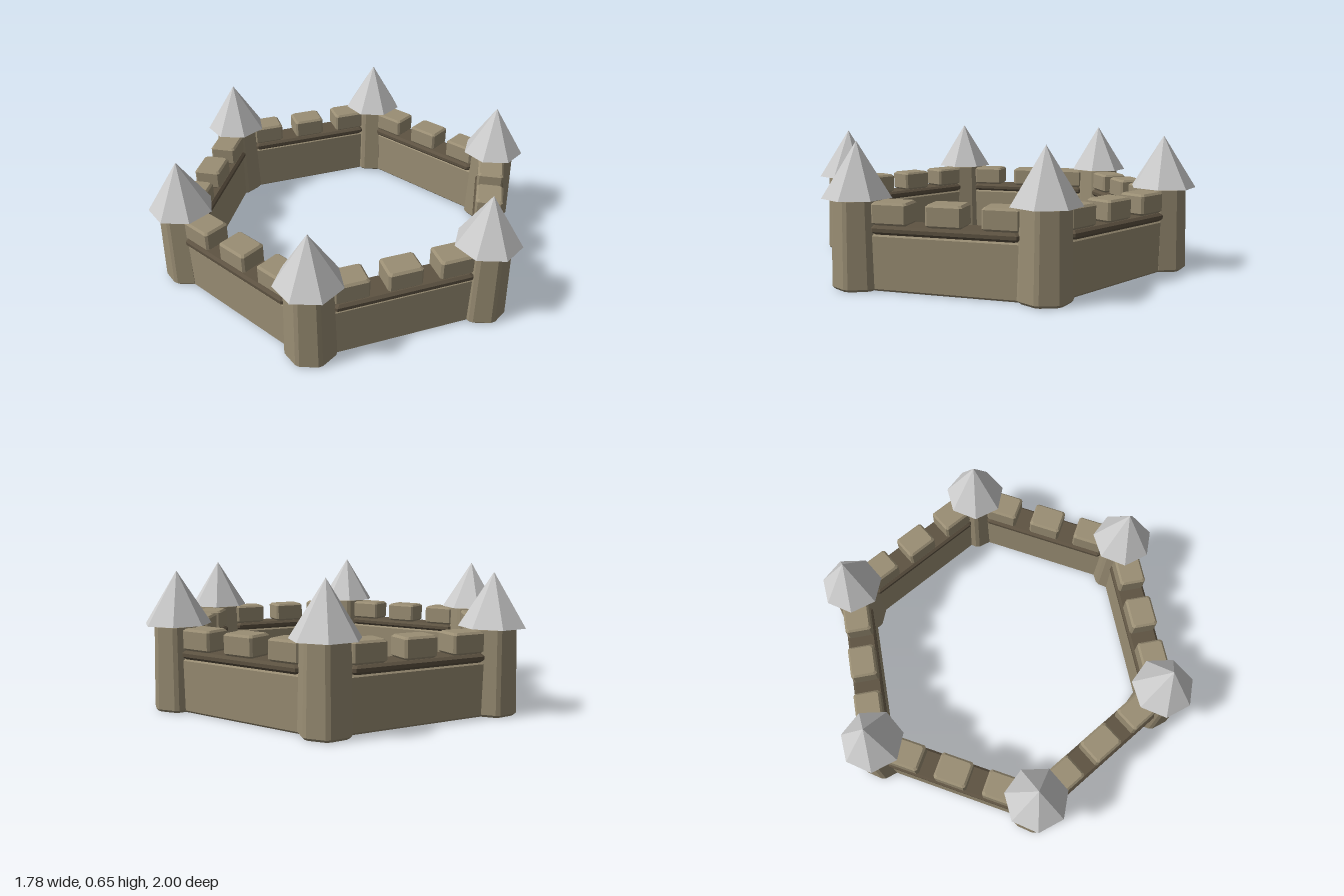
import * as THREE from 'three';

const SIDES = 7;

// Regular polygon with one corner pointing to -z, counterclockwise from above
const polygon = (r) => Array.from({ length: SIDES }, (_, i) => {
  const a = Math.PI + (i * 2 * Math.PI) / SIDES;
  return [r * Math.sin(a), r * Math.cos(a)];
});

const rectangle = (w, d) => [[-w, d], [w, d], [w, -d], [-w, -d]];

// Replace every corner by two points, cut back by c along its edges
function chamfer(corners, c) {
  const n = corners.length;
  const toward = (p, q) => {
    const k = c / Math.hypot(q[0] - p[0], q[1] - p[1]);
    return [p[0] + (q[0] - p[0]) * k, p[1] + (q[1] - p[1]) * k];
  };
  return corners.flatMap((p, i) => [
    toward(p, corners[(i + n - 1) % n]),
    toward(p, corners[(i + 1) % n]),
  ]);
}

// Closed, flat-shaded solid through outlines stacked from bottom to top
function loft(rings) {
  const pos = [];
  const point = (r, i) => {
    const p = r.outline[i % r.outline.length];
    return [p[0], r.y, p[1]];
  };
  const n = rings[0].outline.length;
  const bottom = rings[0];
  const top = rings[rings.length - 1];
  for (let i = 0; i < n; i++) {
    for (let j = 0; j < rings.length - 1; j++) {
      const a = point(rings[j], i), b = point(rings[j], i + 1);
      const c = point(rings[j + 1], i + 1), d = point(rings[j + 1], i);
      pos.push(...a, ...b, ...c, ...a, ...c, ...d);
    }
    pos.push(0, bottom.y, 0, ...point(bottom, i + 1), ...point(bottom, i));
    pos.push(0, top.y, 0, ...point(top, i), ...point(top, i + 1));
  }
  const geo = new THREE.BufferGeometry();
  geo.setAttribute('position', new THREE.Float32BufferAttribute(pos, 3));
  geo.computeVertexNormals();
  return geo;
}

// Solid with bevelled edges; outline(inset, t) gives corners at height fraction t
function bevelled(outline, y0, y1, b) {
  return loft([
    { y: y0, outline: chamfer(outline(b, 0), b) },
    { y: y0 + b, outline: chamfer(outline(0, 0), b) },
    { y: y1 - b, outline: chamfer(outline(0, 1), b) },
    { y: y1, outline: chamfer(outline(b, 1), b) },
  ]);
}

const bevelledBox = (halfW, halfD, y0, y1, b) =>
  bevelled((inset) => rectangle(halfW - inset, halfD - inset), y0, y1, b);

export function createModel() {
  const material = (name, color) => {
    const m = new THREE.MeshStandardMaterial({ color });
    m.name = name;
    return m;
  };
  const stone = material('tan stone', 0x9a8e74);
  const darkStone = material('dark brown stone', 0x5e5342);
  const slate = material('light grey roof', 0xcccccc);

  const towerGeo = bevelled((inset, t) => polygon(0.126 - 0.01 * t - inset), 0, 0.41, 0.012);
  const roofGeo = new THREE.ConeGeometry(0.158, 0.25, SIDES).toNonIndexed();
  roofGeo.computeVertexNormals();
  const wallGeo = bevelledBox(0.345, 0.06, 0, 0.255, 0.01);
  const ledgeGeo = bevelledBox(0.334, 0.075, 0.255, 0.295, 0.012);
  const merlonGeo = bevelledBox(0.083, 0.067, 0.295, 0.395, 0.01);

  const model = new THREE.Group();
  model.name = 'fortress';
  const add = (parent, name, geo, mat) => {
    const mesh = new THREE.Mesh(geo, mat);
    mesh.name = name;
    parent.add(mesh);
    return mesh;
  };

  const radius = 0.85;
  const centreZ = 0.008;
  for (let k = 0; k < 6; k++) {
    // Corner tower with pointed roof
    const a = (k * Math.PI) / 3;
    const tower = new THREE.Group();
    tower.name = 'cornerTower';
    tower.position.set(radius * Math.sin(a), 0, radius * Math.cos(a) + centreZ);
    add(tower, 'towerShaft', towerGeo, stone);
    const roof = add(tower, 'towerRoof', roofGeo, slate);
    roof.position.y = 0.53;
    roof.rotation.y = Math.PI;
    model.add(tower);

    // Wall section with ledge and three merlons
    const m = a + Math.PI / 6;
    const mid = radius * Math.cos(Math.PI / 6);
    const section = new THREE.Group();
    section.name = 'wallSection';
    section.position.set(mid * Math.sin(m), 0, mid * Math.cos(m) + centreZ);
    section.rotation.y = m;
    add(section, 'wall', wallGeo, stone);
    add(section, 'ledge', ledgeGeo, darkStone);
    for (const x of [-0.25, 0, 0.25]) add(section, 'merlon', merlonGeo, stone).position.x = x;
    model.add(section);
  }
  return model;
}
